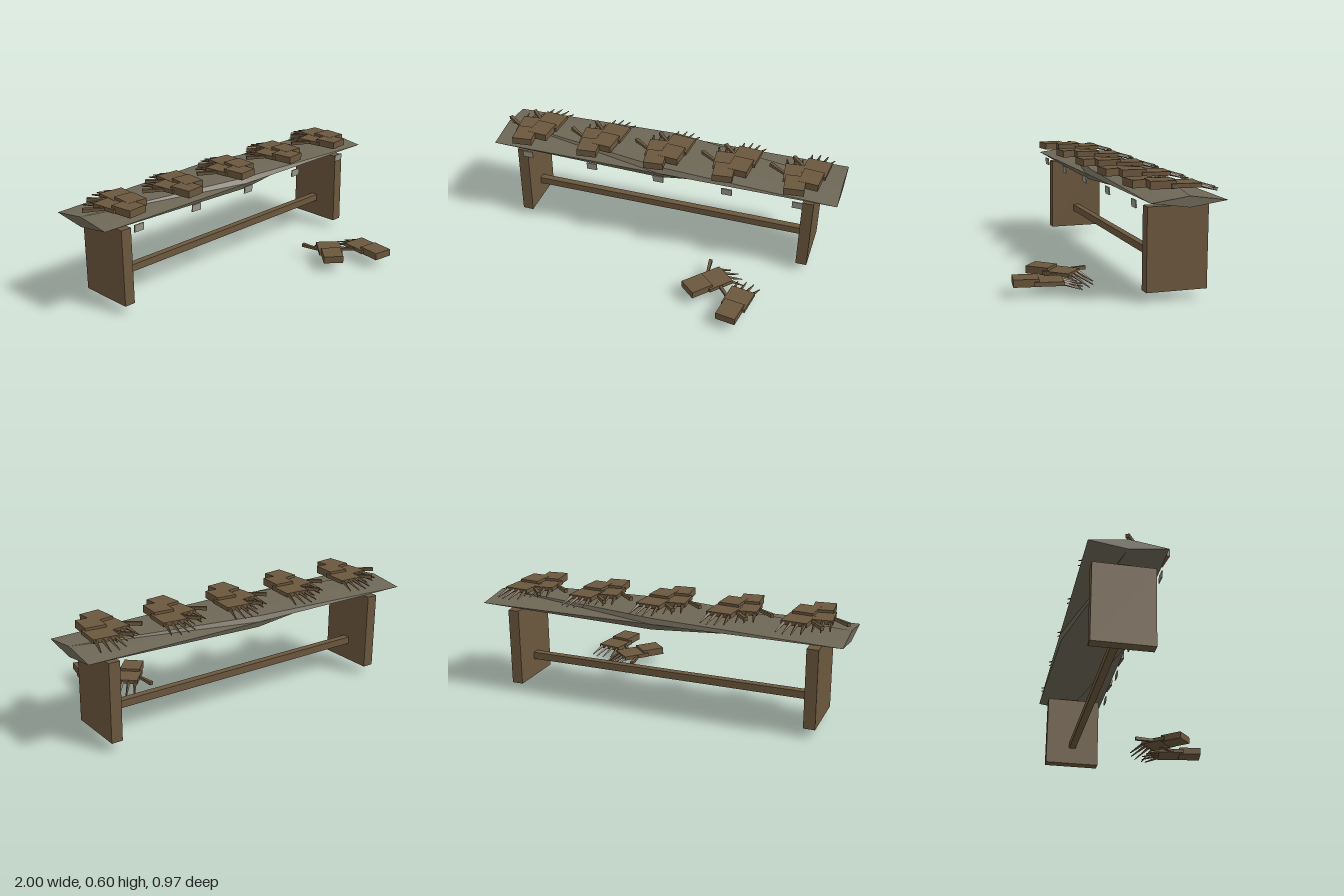
import * as THREE from 'three';
import { toCreasedNormals } from 'three/addons/utils/BufferGeometryUtils.js';

const stone = new THREE.MeshStandardMaterial({ color: 0x6d6757 });
stone.name = 'greyBrown';
const wood = new THREE.MeshStandardMaterial({ color: 0x6b573d, flatShading: true });
wood.name = 'brownWood';
const pale = new THREE.MeshStandardMaterial({ color: 0x9b998b, flatShading: true, side: THREE.DoubleSide });
pale.name = 'paleGrey';

function add(parent, name, geometry, material, x = 0, y = 0, z = 0) {
  const mesh = new THREE.Mesh(geometry, material);
  mesh.name = name;
  mesh.position.set(x, y, z);
  parent.add(mesh);
  return mesh;
}

// Slab lofted from a diamond at each end to a wide hexagon in the middle
function slabGeometry() {
  const end = [[-0.08, 0.518], [-0.28, 0.545], [-0.28, 0.545], [-0.477, 0.516], [-0.28, 0.49], [-0.28, 0.49]];
  const mid = [[-0.08, 0.518], [-0.103, 0.545], [-0.465, 0.545], [-0.477, 0.516], [-0.467, 0.485], [-0.09, 0.488]];
  const positions = [], index = [];
  [[-1, end], [0, mid], [1, end]].forEach(([x, ring]) => ring.forEach(([z, y]) => positions.push(x, y, z)));
  for (let s = 0; s < 2; s++) {
    for (let i = 0; i < 6; i++) {
      const a = s * 6 + i, b = s * 6 + (i + 1) % 6;
      index.push(a, a + 6, b, b, a + 6, b + 6);
    }
  }
  index.push(0, 1, 3, 0, 3, 4, 12, 15, 13, 12, 16, 15);
  const geometry = new THREE.BufferGeometry();
  geometry.setAttribute('position', new THREE.Float32BufferAttribute(positions, 3));
  geometry.setIndex(index);
  return toCreasedNormals(geometry, 0.5);
}

// Four-sided tapered stick between two points
function stick(parent, name, from, to, baseRadius, tipRadius) {
  const a = new THREE.Vector3(...from), b = new THREE.Vector3(...to);
  const dir = b.clone().sub(a);
  const geometry = new THREE.CylinderGeometry(tipRadius, baseRadius, dir.length(), 4);
  const mesh = add(parent, name, geometry, wood);
  mesh.position.copy(a).add(b).multiplyScalar(0.5);
  mesh.quaternion.setFromUnitVectors(new THREE.Vector3(0, 1, 0), dir.normalize());
}

// Glove pointing towards -z, turned clockwise as seen from above
function glove(parent, x, y, z, degrees, droop) {
  const group = new THREE.Group();
  group.name = 'glove';
  group.position.set(x, y, z);
  group.rotation.y = -THREE.MathUtils.degToRad(degrees);
  add(group, 'cuff', new THREE.BoxGeometry(0.112, 0.04, 0.13), wood, 0, 0.02, 0);
  add(group, 'palm', new THREE.BoxGeometry(0.137, 0.022, 0.15), wood, 0, 0.015, -0.115);
  [0.09, 0.11, 0.11, 0.09].forEach((length, i) => {
    const fx = (i - 1.5) * 0.035, drop = droop * (0.75 + 0.08 * i);
    stick(group, 'finger', [fx, 0.015, -0.18], [fx * 1.25, 0.014 - drop, -0.18 - length], 0.011, 0.003);
  });
  stick(group, 'thumb', [-0.055, 0.013, -0.1], [-0.148, 0.012, -0.185], 0.009, 0.014);
  parent.add(group);
}

export function createModel() {
  const model = new THREE.Group();
  model.name = 'tableWithGloves';

  // Table
  add(model, 'tableTop', slabGeometry(), stone);
  for (const x of [-0.843, 0.841]) {
    add(model, 'leg', new THREE.BoxGeometry(0.062, 0.428, 0.322), wood, x, 0.264, -0.275);
  }
  add(model, 'stretcher', new THREE.BoxGeometry(1.63, 0.04, 0.04), wood, 0, 0.17, -0.275);

  for (let i = -2; i <= 2; i++) {
    // Small tags hanging from the front edge
    const tag = add(model, 'tag', new THREE.BoxGeometry(0.06, 0.04, 0.007), pale, i * 0.395, 0.485, -0.075);
    tag.rotation.x = 0.08;
    // Pairs of gloves lying on the top
    const x = i * 0.394;
    glove(model, x - 0.03, 0.563, -0.115, -6, 0.022);
    glove(model, x + 0.044, 0.564, -0.192, 5, 0.026);
  }

  // Pair of gloves in front of the table
  glove(model, 0.56, 0.055, 0.415, 9, 0.03);
  glove(model, 0.338, 0.055, 0.272, 42, 0.066);
  return model;
}
